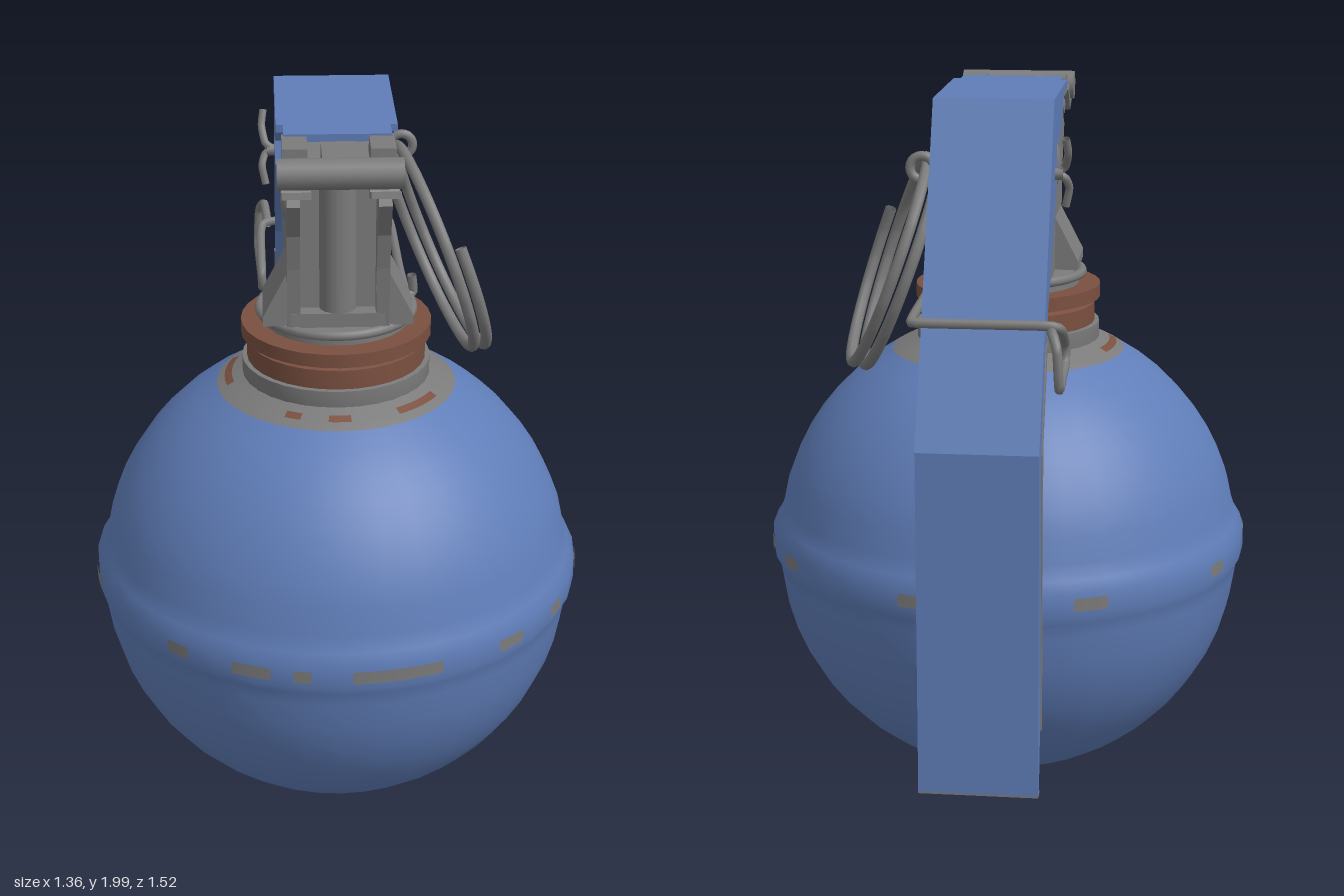
import * as THREE from 'three';
import { toCreasedNormals } from 'three/addons/utils/BufferGeometryUtils.js';

const mat = (name, color) => {
  const m = new THREE.MeshStandardMaterial({ color, side: THREE.DoubleSide });
  m.name = name;
  return m;
};

export function createModel() {
  const root = new THREE.Group();
  root.name = 'model';
  const blue = mat('blue paint', 0x5f7db8);
  const steel = mat('bare steel', 0x7b7b7c);
  const rust = mat('rust brown', 0x7a5040);
  const CZ = 0.08; // body axis

  const add = (name, geo, material, x = 0, y = 0, z = 0) => {
    const m = new THREE.Mesh(geo, material);
    m.name = name;
    m.position.set(x, y, z);
    root.add(m);
    return m;
  };
  const V2 = pts => pts.map(([a, b]) => new THREE.Vector2(a, b));
  // side profile given as [z, y] points, extruded across x and centred on x
  const profile = (pts, width, hole) => {
    const s = new THREE.Shape(V2(pts));
    if (hole) s.holes.push(new THREE.Path().absarc(hole[0], hole[1], hole[2], 0, Math.PI * 2, true));
    const g = new THREE.ExtrudeGeometry(s, { depth: width, bevelEnabled: false, curveSegments: 8 });
    return g.translate(0, 0, -width / 2).rotateY(-Math.PI / 2);
  };
  const wire = (name, pts, r, segs, closed = false) => add(name, new THREE.TubeGeometry(
    new THREE.CatmullRomCurve3(pts.map(p => new THREE.Vector3(...p)), closed, 'catmullrom', 0.3), segs, r, 8, closed), steel);
  const barX = (name, r, len, y, z) =>
    add(name, new THREE.CylinderGeometry(r, r, len, 16).rotateZ(Math.PI / 2), steel, 0, y, z);

  // --- round body with a seam ridge
  const R = 0.665, CY = 0.672;
  const onBall = r => CY + Math.sqrt(R * R - r * r);
  const body = [];
  for (let i = 0; i <= 12; i++) {
    const a = -Math.PI / 2 + (i / 12) * (Math.PI / 2 - 0.1);
    body.push([R * Math.cos(a), CY + R * Math.sin(a)]);
  }
  body.push([0.668, 0.645], [0.681, 0.67], [0.681, 0.735], [0.662, 0.765], [0.647, 0.81]);
  const a0 = Math.asin((0.81 - CY) / R), a1 = Math.acos(0.33 / R);
  for (let i = 1; i <= 8; i++) {
    const a = a0 + (i / 8) * (a1 - a0);
    body.push([R * Math.cos(a), CY + R * Math.sin(a)]);
  }
  body[0][0] = 0.0001;
  add('body', new THREE.LatheGeometry(V2(body), 36), blue, 0, 0, CZ);
  add('bareShoulder', new THREE.LatheGeometry(
    V2([[0.33, onBall(0.33)], [0.3, onBall(0.3)], [0.24, onBall(0.24)]]), 36), steel, 0, 0, CZ);

  // worn patches on the ridge: [start angle, length]
  [[-0.75, 0.1], [-0.45, 0.16], [-0.2, 0.07], [0.03, 0.36], [0.66, 0.13], [1.0, 0.1], [1.4, 0.13],
    [1.82, 0.08], [2.1, 0.12], [2.8, 0.12], [3.5, 0.14], [4.2, 0.1], [4.8, 0.16]].forEach(([t, l]) =>
    add('ridgeWear', new THREE.CylinderGeometry(0.684, 0.684, 0.036, 6, 1, true, t, l), steel, 0, 0.705, CZ));
  // rust flecks on the shoulder
  [[-1.95, 0.6], [0.55, 0.5], [-0.5, 0.15], [-0.1, 0.2]].forEach(([t, l]) =>
    add('rustFleck', new THREE.LatheGeometry(
      V2([[0.308, onBall(0.308) + 0.004], [0.288, onBall(0.288) + 0.004]]), 6, t, l), rust, 0, 0, CZ));

  // --- neck and grooved collar
  const lathe = (name, pts, material) =>
    add(name, toCreasedNormals(new THREE.LatheGeometry(V2(pts), 32), 0.6), material, 0, 0, CZ);
  lathe('neck', [[0.25, 1.25], [0.258, 1.28], [0.258, 1.33], [0.2, 1.335]], steel);
  lathe('collar', [[0.2, 1.325], [0.245, 1.325], [0.245, 1.385], [0.258, 1.39], [0.258, 1.345], [0.245, 1.335]].slice(0, 3)
    .concat([[0.225, 1.39], [0.225, 1.4], [0.26, 1.4], [0.26, 1.438], [0.1, 1.44]]), rust);
  lathe('washer', [[0.1, 1.43], [0.2, 1.435], [0.2, 1.48], [0.01, 1.485]], steel);
  add('neckWire', new THREE.TorusGeometry(0.208, 0.014, 8, 36).rotateX(Math.PI / 2), steel, 0, 1.47, CZ);

  // --- fuse head: two cheeks, a recessed core and a central post
  const cheek = [[0.25, 1.48], [0.265, 1.65], [0.285, 1.75], [0.34, 1.85], [0.31, 1.87], [0.31, 1.985],
    [0, 1.985], [-0.18, 1.91], [-0.18, 1.78], [-0.46, 1.48]];
  for (const s of [-1, 1]) {
    add('headCheek', profile(cheek, 0.035, [0.16, 1.94, 0.016]), steel, s * 0.118);
    const boss = add('cheekBoss', new THREE.SphereGeometry(0.06, 20, 12), steel, s * 0.134, 1.775, 0.05);
    boss.scale.x = 0.25;
    // front gusset flaring down to the washer
    const gusset = new THREE.Shape(V2([[0.1, 1.48], [0.2, 1.48], [0.2, 1.505], [0.13, 1.64], [0.1, 1.64]]));
    const g = add('headGusset', new THREE.ExtrudeGeometry(gusset, { depth: 0.2, bevelEnabled: false }), steel);
    if (s < 0) g.rotation.y = Math.PI;
    g.position.z = s < 0 ? 0.24 : 0.04;
  }
  add('headCore', profile([[0.21, 1.48], [0.21, 1.9], [-0.16, 1.9], [-0.18, 1.78], [-0.45, 1.48]], 0.21), steel);
  add('headPost', new THREE.CylinderGeometry(0.05, 0.05, 0.4, 16), steel, 0, 1.72, 0.205);
  add('headSill', new THREE.BoxGeometry(0.25, 0.04, 0.06), steel, 0, 1.5, 0.225);

  // --- hinge at the top front
  barX('hingePin', 0.02, 0.28, 1.905, 0.29);
  barX('crossBar', 0.04, 0.32, 1.955, 0.383);
  add('crossBarStem', new THREE.BoxGeometry(0.09, 0.04, 0.15), steel, 0, 1.965, 0.295);
  for (const s of [-1, 1]) {
    add('hingeHook', profile([[0.3, 1.95], [0.37, 1.885], [0.46, 1.915], [0.455, 1.932], [0.38, 1.905],
      [0.33, 1.965]], 0.075), steel, s * 0.112);
    add('leverEar', new THREE.BoxGeometry(0.065, 0.05, 0.12), steel, s * 0.113, 1.97, 0.25);
  }

  // --- lever: bent sheet with folded side flanges
  add('leverSheet', profile([[0.13, 2], [-0.3, 2], [-0.705, 1.155], [-0.705, 0.22], [-0.683, 0.22],
    [-0.683, 1.16], [-0.287, 1.98], [0.13, 1.98]], 0.318), blue);
  add('leverNose', new THREE.BoxGeometry(0.28, 0.02, 0.08), blue, 0, 1.99, 0.168);
  const flange = [[0.09, 1.998], [-0.3, 1.998], [-0.705, 1.155], [-0.705, 0.22], [-0.67, 0.22], [-0.645, 0.38],
    [-0.62, 0.38], [-0.62, 1.155], [-0.46, 1.48], [-0.19, 1.78], [-0.21, 1.87], [-0.13, 1.87], [-0.05, 1.9], [0, 1.96]];
  const wornEdge = [[-0.62, 0.38], [-0.642, 0.38], [-0.638, 0.75], [-0.65, 0.95], [-0.645, 1.14], [-0.57, 1.32],
    [-0.53, 1.4], [-0.5, 1.4], [-0.62, 1.155]];
  for (const s of [-1, 1]) {
    add('leverFlange', profile(flange, 0.018), blue, s * 0.15);
    add('leverFlangeWear', profile(wornEdge, 0.004), steel, s * 0.16);
    add('leverLipWear', new THREE.BoxGeometry(0.018, 0.74, 0.004), steel, s * 0.15, 0.77, -0.619);
  }
  add('leverTipWear', new THREE.BoxGeometry(0.32, 0.006, 0.036), steel, 0, 0.218, -0.687);

  // --- safety clip: from the neck, round the lever, ending in a hooked loop
  wire('safetyClip', [[0.2, 1.47, 0.1], [0.19, 1.465, -0.2], [0.185, 1.465, -0.55], [0.16, 1.465, -0.585],
    [-0.16, 1.465, -0.585], [-0.2, 1.45, -0.56], [-0.2, 1.38, -0.41], [-0.2, 1.325, -0.41], [-0.2, 1.315, -0.5],
    [-0.21, 1.335, -0.72], [-0.21, 1.36, -0.745], [-0.205, 1.44, -0.745], [-0.19, 1.475, -0.71],
    [-0.18, 1.45, -0.6]], 0.013, 120);
  wire('clipUpright', [[0.2, 1.47, 0.02], [0.215, 1.48, 0.01], [0.21, 1.53, 0.015]], 0.013, 10);

  // --- pull ring: a split ring of almost two turns
  const ring = [];
  for (let i = 0; i <= 44; i++) {
    const t = 1.9 + (i / 44) * Math.PI * 3.5, off = (i / 44 - 0.5) * 0.06;
    ring.push([0.29 - 0.1 * Math.sin(t) + 0.05 * Math.cos(t) + off,
      1.54 + 0.282 * Math.sin(t) + off * 0.2, -0.17 + 0.28 * Math.cos(t)]);
  }
  wire('pullRing', ring, 0.016, 160);

  // --- split pin through the head, with an eye and spread ends
  barX('splitPin', 0.016, 0.36, 1.8, -0.26);
  add('pinEye', new THREE.TorusGeometry(0.032, 0.013, 8, 20), steel, 0.195, 1.81, -0.26);
  wire('pinEndUpper', [[-0.16, 1.8, -0.26], [-0.185, 1.82, -0.26], [-0.195, 1.86, -0.29], [-0.19, 1.9, -0.31]], 0.011, 16);
  wire('pinEndLower', [[-0.16, 1.8, -0.26], [-0.185, 1.79, -0.26], [-0.195, 1.76, -0.24], [-0.185, 1.71, -0.23]], 0.011, 16);

  return root;
}
